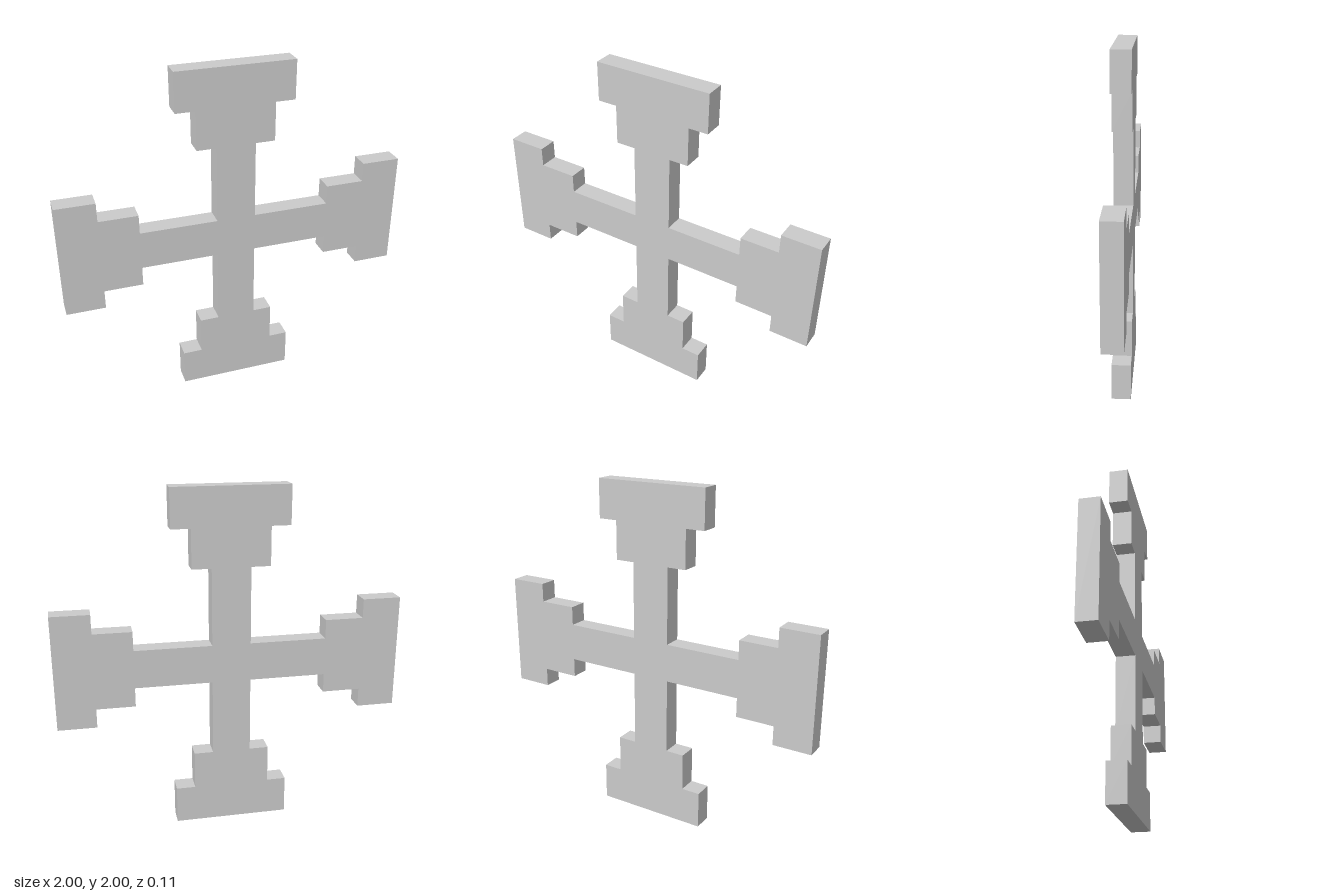
import * as THREE from 'three';

const UNIT = 1 / 9; // the whole cross sits on an 18 x 18 unit grid

export function createModel() {
  const group = new THREE.Group();
  group.name = 'steppedCross';

  // Outline of one arm pointing along +x, counter-clockwise from its inner corner
  const arm = [
    [1, -1], [5, -1], [5, -2], [7, -2], [7, -3], [9, -3],
    [9, 3], [7, 3], [7, 2], [5, 2], [5, 1],
  ];

  // Four arms, each a quarter turn further, form one closed outline
  const outline = [];
  for (let turn = 0; turn < 4; turn++) {
    for (const [x, y] of arm) {
      const p = new THREE.Vector2(x, y);
      for (let i = 0; i < turn; i++) p.set(-p.y, p.x);
      outline.push(p.multiplyScalar(UNIT));
    }
  }

  // Flat slab, one unit thick, standing on the ground
  const geometry = new THREE.ExtrudeGeometry(new THREE.Shape(outline), {
    depth: UNIT,
    bevelEnabled: false,
  });
  geometry.translate(0, 1, -UNIT / 2);

  const cross = new THREE.Mesh(
    geometry,
    new THREE.MeshStandardMaterial({ color: 0xcccccc, flatShading: true })
  );
  cross.name = 'cross';
  group.add(cross);
  return group;
}
